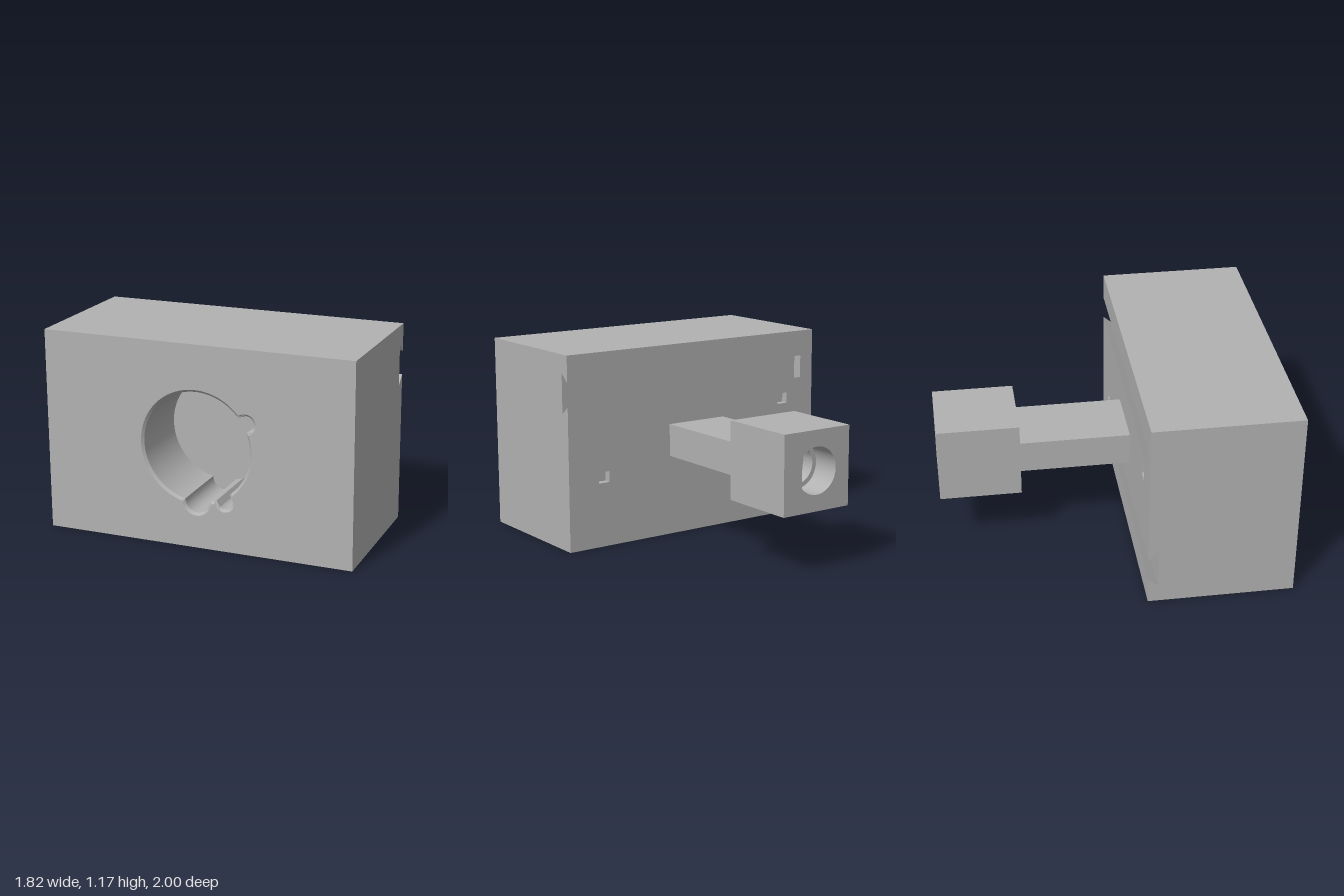
import * as THREE from 'three';

const V2 = (x, y) => new THREE.Vector2(x, y);
const H = 0.585, X = 0.91, BACK = 0.14, FRONT = 1; // body half height, half width, depth range

const grey = new THREE.MeshStandardMaterial({ color: 0xb2b2b2, side: THREE.DoubleSide });
grey.name = 'plain grey';

function add(parent, name, geometry) {
  const mesh = new THREE.Mesh(geometry, grey);
  mesh.name = name;
  parent.add(mesh);
  return mesh;
}

// Flat face from an outline with holes, at height z, facing +z or -z
function panel(points, holes, z, facing = 1) {
  const shape = new THREE.Shape(points);
  shape.holes = holes.map((h) => new THREE.Path(h));
  const g = new THREE.ShapeGeometry(shape);
  if (facing < 0) {
    const idx = g.index;
    for (let i = 0; i < idx.count; i += 3) {
      const t = idx.getX(i);
      idx.setX(i, idx.getX(i + 1));
      idx.setX(i + 1, t);
    }
    g.computeVertexNormals();
  }
  return g.translate(0, 0, z);
}

// Strip of flat quads through a list of [x, y, z] loops
function loft(loops, closed = true) {
  const pos = [];
  for (let k = 0; k + 1 < loops.length; k++) {
    const a = loops[k], b = loops[k + 1], n = a.length;
    for (let i = 0; i < (closed ? n : n - 1); i++) {
      const j = (i + 1) % n;
      pos.push(...a[i], ...a[j], ...b[j], ...a[i], ...b[j], ...b[i]);
    }
  }
  const g = new THREE.BufferGeometry();
  g.setAttribute('position', new THREE.Float32BufferAttribute(pos, 3));
  g.computeVertexNormals();
  return g;
}

const at = (points, z) => points.map((p) => [p.x, p.y, z]);
const rect = (w, h, cx = 0, cy = 0) =>
  [V2(cx - w, cy - h), V2(cx + w, cy - h), V2(cx + w, cy + h), V2(cx - w, cy + h)];

// Round pocket outline with three lobes, shrunk by inset
function pocketOutline(inset) {
  const lobes = [[0, -0.31, 0.085], [0.167, -0.293, 0.06], [0.293, 0.167, 0.06]];
  const points = [], N = 300;
  for (let i = 0; i < N; i++) {
    const t = (i / N) * Math.PI * 2, c = Math.cos(t), s = Math.sin(t);
    let r = 0.33 - inset;
    for (const [x, y, lr] of lobes) {
      const along = x * c + y * s, off = x * s - y * c, q = (lr - inset) ** 2 - off * off;
      if (q > 0 && along > 0) r = Math.max(r, along + Math.sqrt(q));
    }
    points.push(V2(r * c, r * s));
  }
  return points;
}

// Circle cut flat on its +x side
function dOutline(r, flat) {
  const a = Math.acos(flat / r), points = [];
  for (let i = 0; i <= 48; i++) {
    const t = a + (i / 48) * (2 * Math.PI - 2 * a);
    points.push(V2(r * Math.cos(t), r * Math.sin(t)));
  }
  return points;
}

// One half of the body: top, side, dovetail groove and small slot
function bodyHalf() {
  const half = new THREE.Group();
  const gz = 0.2, end = -0.815;
  add(half, 'topFace', loft([
    [[X, H, BACK], [-X, H, BACK]], [[X, H, FRONT], [-X, H, FRONT]]], false));
  const side = [[BACK, -H], [BACK, 0.285], [gz, 0.235], [gz, 0.475], [BACK, 0.425],
    [BACK, H], [FRONT, H], [FRONT, -H]].map(([z, y]) => V2(-z, y));
  add(half, 'sideFace', panel(side, [], 0).rotateY(Math.PI / 2).translate(X, 0, 0));

  const dove = [[0.285, BACK], [0.235, gz], [0.475, gz], [0.425, BACK]];
  add(half, 'grooveWalls', loft([end, X].map((x) => dove.map(([y, z]) => [x, y, z])), false));
  add(half, 'grooveEnd', panel(dove.map(([y, z]) => V2(-z, y)), [], 0)
    .rotateY(Math.PI / 2).translate(end, 0, 0));

  const slot = rect(0.037, 0.033, -0.67, 0.163);
  add(half, 'slotWalls', loft([at(slot, BACK + 0.045), at(slot, BACK)]));
  add(half, 'slotFloor', panel(slot, [], BACK + 0.045, -1));
  return half;
}

export function createModel() {
  const model = new THREE.Group();
  model.name = 'mountedBlock';

  // Main block; its back is the same when turned half way round
  const body = new THREE.Group();
  body.name = 'body';
  body.position.y = H;
  model.add(body);
  for (const turn of [0, Math.PI]) {
    const half = bodyHalf();
    half.name = turn ? 'bodyLowerHalf' : 'bodyUpperHalf';
    half.rotation.z = turn;
    body.add(half);
  }
  const edge = [V2(X, -H), V2(X, 0.285), V2(-0.815, 0.285), V2(-0.815, 0.425), V2(X, 0.425), V2(X, H)];
  const backOutline = [...edge, ...edge.map((p) => V2(-p.x, -p.y))];
  const slots = [rect(0.037, 0.033, -0.67, 0.163), rect(0.037, 0.033, 0.67, -0.163)];
  add(body, 'backFace', panel(backOutline, slots, BACK, -1));

  // Front pocket with chamfered rim
  const rim = pocketOutline(0), wall = pocketOutline(0.014), floorZ = 0.595;
  add(body, 'frontFace', panel(rect(X, H), [rim], FRONT));
  add(body, 'pocketWalls', loft([at(rim, FRONT), at(wall, FRONT - 0.014), at(wall, floorZ)]));
  add(body, 'pocketFloor', panel(wall, [], floorZ));

  // Arm
  const arm = add(model, 'arm', new THREE.BoxGeometry(0.4, 0.196, 0.655));
  arm.position.set(0, 0.587, -0.1875);

  // Head with stepped D-shaped socket
  const head = new THREE.Group();
  head.name = 'head';
  head.position.y = 0.5875;
  model.add(head);
  const box = rect(0.232, 0.2325), z0 = -1, z1 = -0.515;
  const outer = dOutline(0.137, 0.105), inner = dOutline(0.11, 0.08);
  add(head, 'headSides', loft([at(box, z0), at(box, z1)]));
  add(head, 'headFront', panel(box, [], z1));
  add(head, 'headBack', panel(box, [outer], z0, -1));
  add(head, 'socketWalls', loft([at(outer, z0 + 0.17), at(outer, z0)]));
  add(head, 'socketStep', panel(outer, [inner], z0 + 0.17, -1));
  add(head, 'socketInnerWalls', loft([at(inner, z0 + 0.25), at(inner, z0 + 0.17)]));
  add(head, 'socketFloor', panel(inner, [], z0 + 0.25, -1));
  return model;
}
